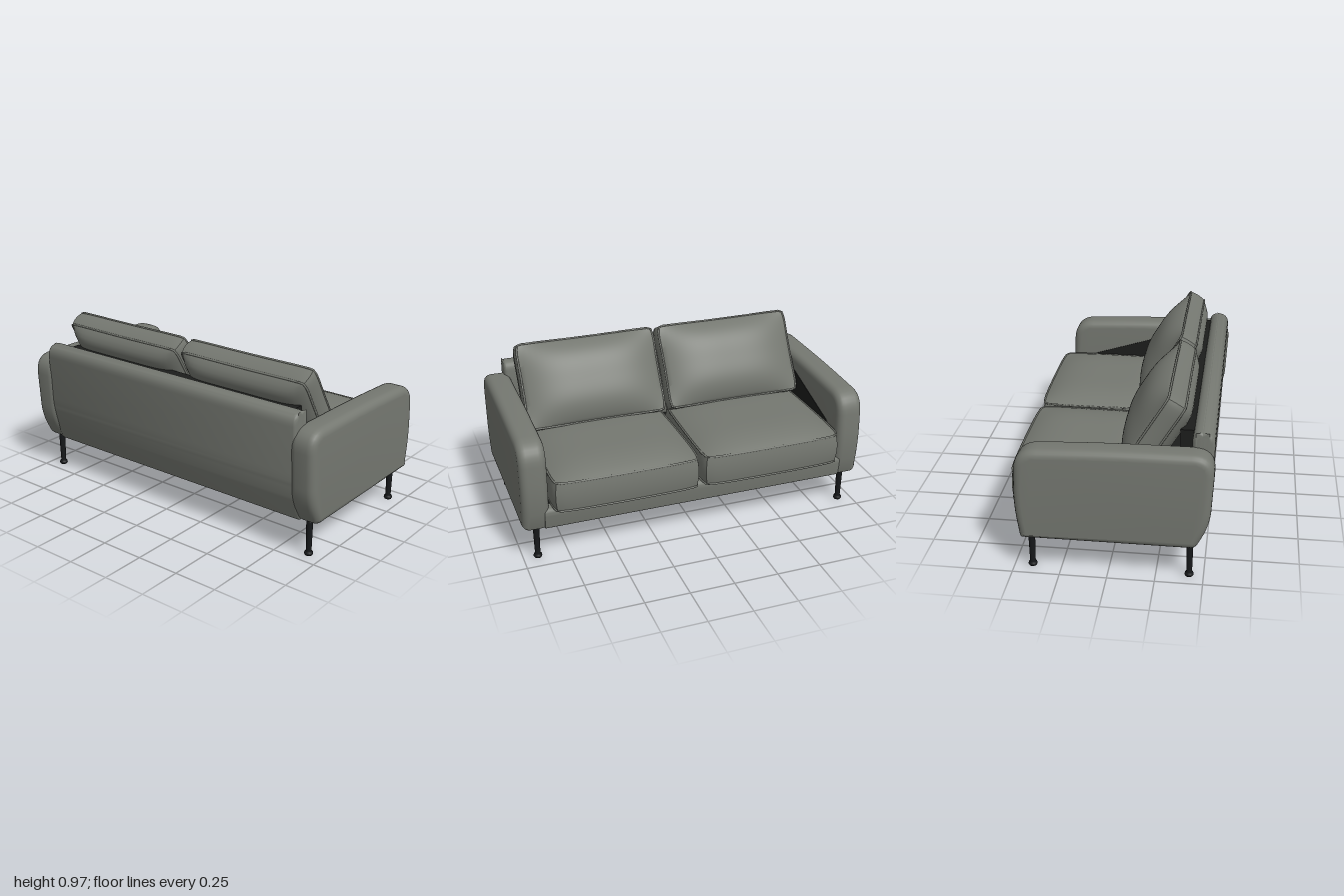
import * as THREE from 'three';
import { mergeVertices, toCreasedNormals } from 'three/addons/utils/BufferGeometryUtils.js';

const fabric = new THREE.MeshStandardMaterial({ color: 0x757871 });
fabric.name = 'grey fabric';
const dark = new THREE.MeshStandardMaterial({ color: 0x1c1d1c });
dark.name = 'dark lining';
const black = new THREE.MeshStandardMaterial({ color: 0x16181a });
black.name = 'black metal';

function add(parent, name, geometry, material, x = 0, y = 0, z = 0) {
  const mesh = new THREE.Mesh(geometry, material);
  mesh.name = name;
  mesh.position.set(x, y, z);
  parent.add(mesh);
  return mesh;
}

// Side profile of [z, y, cornerRadius] points with softened corners
function profile(points) {
  const shape = new THREE.Shape();
  const n = points.length;
  points.forEach(([z, y, r], i) => {
    const p = new THREE.Vector2(z, y);
    const toward = (q) => new THREE.Vector2(q[0], q[1]).sub(p).setLength(r).add(p);
    const a = toward(points[(i + n - 1) % n]);
    const b = toward(points[(i + 1) % n]);
    if (i === 0) shape.moveTo(a.x, a.y);
    else shape.lineTo(a.x, a.y);
    shape.quadraticCurveTo(z, y, b.x, b.y);
  });
  shape.closePath();
  return shape;
}

// Upholstered block: a side profile extruded across x with rounded edges
function block(points, width, bevel) {
  const geo = new THREE.ExtrudeGeometry(profile(points), {
    depth: width - 2 * bevel, bevelSize: bevel, bevelThickness: bevel,
    bevelOffset: -bevel, bevelSegments: 5, curveSegments: 8,
  });
  geo.translate(0, 0, -(width - 2 * bevel) / 2);
  geo.rotateY(-Math.PI / 2);
  return toCreasedNormals(geo, 0.7);
}

// Outline of a cushion in its plane: rounded corners and softly bowed sides
function outline(u, v, hw, hd, bow, taper) {
  const corner = 1 - 0.035 * Math.pow(Math.abs(u * v), 8);
  return [
    u * corner * (hw + bow * (1 - v * v)) * (1 - taper * (v + 1) / 2),
    v * corner * (hd + bow * (1 - u * u)),
  ];
}

// Stuffed cushion: boxed sides, puffed top and bottom, piping on both seams
function cushion(name, o) {
  const group = new THREE.Group();
  group.name = name;
  let geo = new THREE.BoxGeometry(2, 2, 2, 28, 6, 28);
  const pos = geo.attributes.position;
  for (let i = 0; i < pos.count; i++) {
    const u = pos.getX(i), t = pos.getY(i), v = pos.getZ(i);
    const [x, z] = outline(u, v, o.hw, o.hd, o.bow, o.taper);
    const power = t > 0 ? o.topPower : o.bottomPower;
    const puff = (1 - Math.abs(u) ** power) * (1 - Math.abs(v) ** power);
    const swell = 1 + 0.022 * (1 - t * t);
    pos.setXYZ(i, x * swell, t * (o.edge + (t > 0 ? o.top : o.bottom) * puff), z * swell);
  }
  geo.deleteAttribute('normal');
  geo.deleteAttribute('uv');
  geo = toCreasedNormals(mergeVertices(geo, 1e-5), 0.8);
  add(group, 'stuffing', geo, fabric);
  for (const side of [-1, 1]) {
    const path = [];
    for (let k = 0; k < 48; k++) {
      const s = Math.floor(k / 12), f = -1 + 2 * (k % 12) / 12;
      const [u, v] = [[f, -1], [1, f], [-f, 1], [-1, -f]][s];
      const [x, z] = outline(u, v, o.hw, o.hd, o.bow, o.taper);
      path.push(new THREE.Vector3(x, side * o.edge, z));
    }
    const curve = new THREE.CatmullRomCurve3(path, true);
    add(group, 'piping', new THREE.TubeGeometry(curve, 96, 0.006, 6, true), fabric);
  }
  return group;
}

export function createModel() {
  const sofa = new THREE.Group();
  sofa.name = 'sofa';

  // Frame: base rail and backrest
  add(sofa, 'base', block([
    [0.46, 0.2, 0.01], [0.46, 0.325, 0.01], [-0.475, 0.325, 0.045], [-0.46, 0.2, 0.012],
  ], 1.76, 0.006), fabric);
  add(sofa, 'backrest', block([
    [0.465, 0.2, 0.015], [0.522, 0.4, 0.08], [0.537, 0.81, 0.07],
    [0.42, 0.81, 0.055], [0.41, 0.2, 0.01],
  ], 1.77, 0.022), fabric);

  // Shadowed deck and filler behind the cushions
  add(sofa, 'deck', new THREE.BoxGeometry(1.72, 0.008, 0.84), dark, 0, 0.328, 0.01);
  add(sofa, 'backFiller', new THREE.BoxGeometry(1.6, 0.28, 0.07), dark, 0, 0.645, 0.39);

  const armPoints = [
    [0.455, 0.2, 0.03], [0.525, 0.34, 0.08], [0.545, 0.735, 0.12],
    [0, 0.732, 0.2], [-0.47, 0.712, 0.12], [-0.483, 0.4, 0.1], [-0.455, 0.2, 0.02],
  ];
  const armGeo = block(armPoints, 0.15, 0.042);
  const liningGeo = new THREE.ExtrudeGeometry(profile([
    [-0.42, 0.33, 0.01], [0.42, 0.33, 0.01], [0.42, 0.68, 0.01], [0.2, 0.665, 0.02], [-0.34, 0.5, 0.02],
  ]), { depth: 0.006, bevelEnabled: false });
  liningGeo.rotateY(-Math.PI / 2);

  const legGeo = new THREE.LatheGeometry([
    [0, 0], [0.02, 0], [0.024, 0.008], [0.022, 0.018], [0.015, 0.024],
    [0.018, 0.19], [0.018, 0.21], [0, 0.21],
  ].map(([r, y]) => new THREE.Vector2(r, y)), 16);

  for (const side of [-1, 1]) {
    // Arms
    add(sofa, 'arm', armGeo, fabric, side * 0.925);
    add(sofa, 'armLining', liningGeo, dark, side * 0.85 + 0.003);

    // Legs
    for (const z of [-0.405, 0.425]) add(sofa, 'leg', legGeo, black, side * 0.92, 0, z);

    // Seat cushions
    const seat = cushion('seatCushion', {
      hw: 0.408, hd: 0.36, edge: 0.085, top: 0.05, bottom: 0.02,
      bow: 0.006, taper: 0.03, topPower: 4, bottomPower: 6,
    });
    seat.position.set(side * 0.424, 0.415, -0.165);
    sofa.add(seat);

    // Back cushions, leaning on the backrest
    const back = cushion('backCushion', {
      hw: 0.412, hd: 0.25, edge: 0.05, top: 0.08, bottom: 0.078,
      bow: -0.006, taper: 0, topPower: 3.2, bottomPower: 8,
    });
    back.position.set(side * 0.426, 0.73, 0.21);
    back.rotation.x = -Math.PI / 2 + 0.54;
    sofa.add(back);
  }
  return sofa;
}
